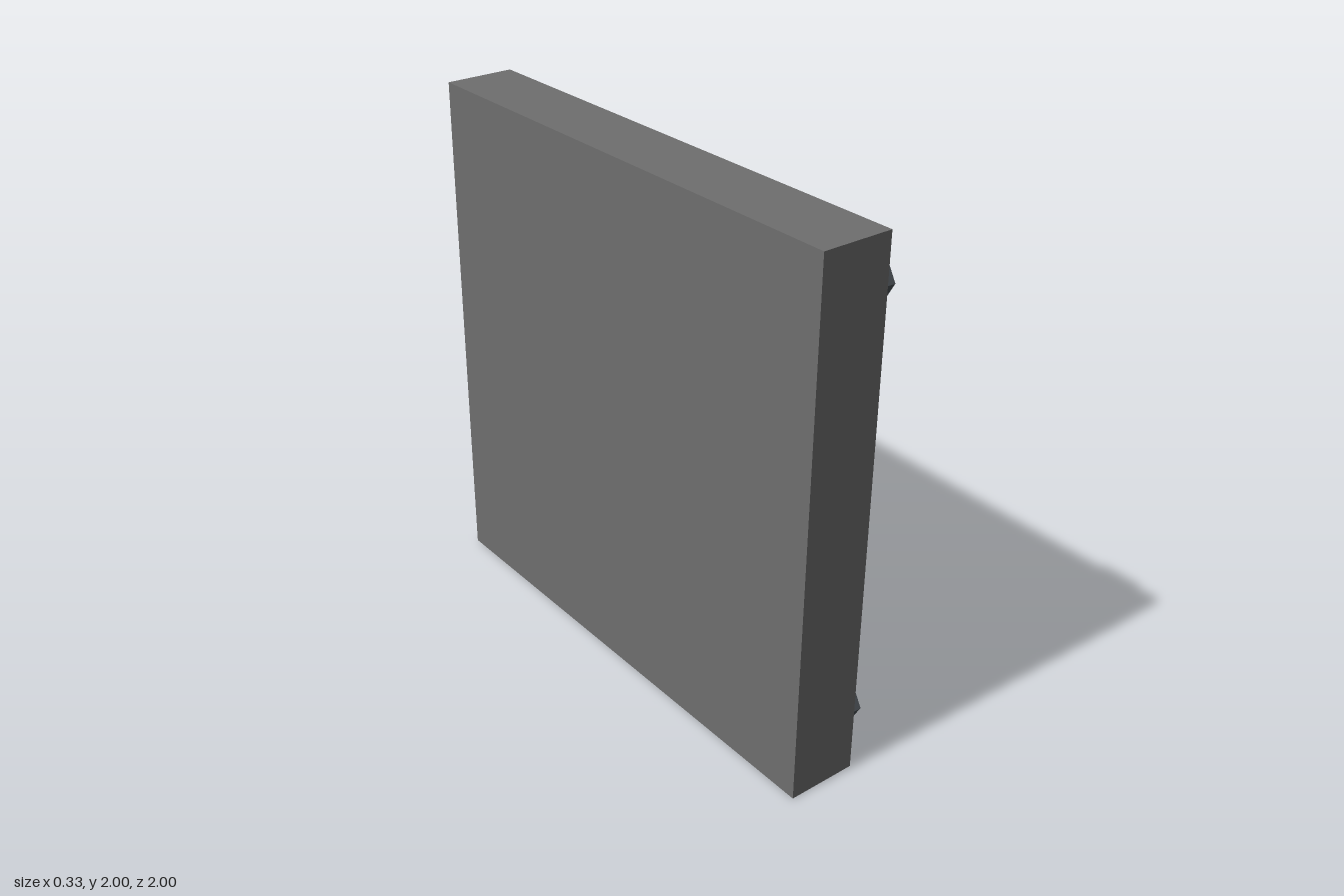
import * as THREE from 'three';

const UNIT = 1 / 15;
const FRONT = 1.5 * UNIT, BACK = -2.5 * UNIT, FLOOR = -1.5 * UNIT;

const paint = (color) => new THREE.MeshStandardMaterial({ color, flatShading: true });

function addMesh(parent, name, geometry, material) {
  const mesh = new THREE.Mesh(geometry, material);
  mesh.name = name;
  parent.add(mesh);
  return mesh;
}

// Keyhole outline, counter-clockwise: square-ended slot, then a 16-sided bow
function keyholePoints() {
  const half = UNIT, r = 5 * UNIT, cy = 1.24;
  const pts = [[-half, 0.467], [half, 0.467], [half, 0.912]];
  for (let i = 1; i < 16; i++) {
    const a = -Math.PI / 2 + (i * Math.PI) / 8;
    pts.push([r * Math.cos(a), cy + r * Math.sin(a)]);
  }
  pts.push([-half, 0.912]);
  return pts.map(([x, y]) => new THREE.Vector2(x, y));
}

// Inward-facing walls that join the front opening to the recess floor
function recessWalls(pts) {
  const pos = [];
  pts.forEach((a, i) => {
    const b = pts[(i + 1) % pts.length];
    pos.push(a.x, a.y, FLOOR, b.x, b.y, FRONT, b.x, b.y, FLOOR);
    pos.push(a.x, a.y, FLOOR, a.x, a.y, FRONT, b.x, b.y, FRONT);
  });
  const geo = new THREE.BufferGeometry();
  geo.setAttribute('position', new THREE.Float32BufferAttribute(pos, 3));
  geo.computeVertexNormals();
  return geo;
}

export function createModel() {
  const model = new THREE.Group();
  model.name = 'keyholePlate';
  const grey = paint(0x6e6e6e), yellow = paint(0xf6d90f), steel = paint(0x4a4f54);
  const outline = keyholePoints();

  // Built facing +z, then turned to face +x
  const lock = new THREE.Group();
  lock.name = 'lock';
  lock.rotation.y = Math.PI / 2;
  model.add(lock);

  // Plate body: a box without its +z face
  const body = new THREE.BoxGeometry(2, 2, FRONT - BACK);
  const faces = Array.from(body.index.array);
  faces.splice(24, 6);
  body.setIndex(faces);
  body.clearGroups();
  body.translate(0, 1, (FRONT + BACK) / 2);
  addMesh(lock, 'plateBody', body, grey);

  // Plate face with the keyhole cut out
  const face = new THREE.Shape([[-1, 0], [1, 0], [1, 2], [-1, 2]].map(([x, y]) => new THREE.Vector2(x, y)));
  face.holes.push(new THREE.Path(outline));
  addMesh(lock, 'plateFace', new THREE.ShapeGeometry(face).translate(0, 0, FRONT), grey);

  // Keyhole recess
  const keyhole = new THREE.Group();
  keyhole.name = 'keyhole';
  lock.add(keyhole);
  addMesh(keyhole, 'keyholeFloor', new THREE.ShapeGeometry(new THREE.Shape(outline)).translate(0, 0, FLOOR), yellow);
  addMesh(keyhole, 'keyholeWalls', recessWalls(outline), yellow);

  // Hexagonal bolt heads in the corners
  const hex = new THREE.CylinderGeometry(2.5 * UNIT, 2.5 * UNIT, UNIT, 6, 1, false, Math.PI / 2);
  hex.rotateX(Math.PI / 2);
  for (const x of [-0.8, 0.8]) {
    for (const y of [0.2, 1.8]) {
      addMesh(lock, 'bolt', hex, steel).position.set(x, y, FRONT + UNIT / 2);
    }
  }
  return model;
}
